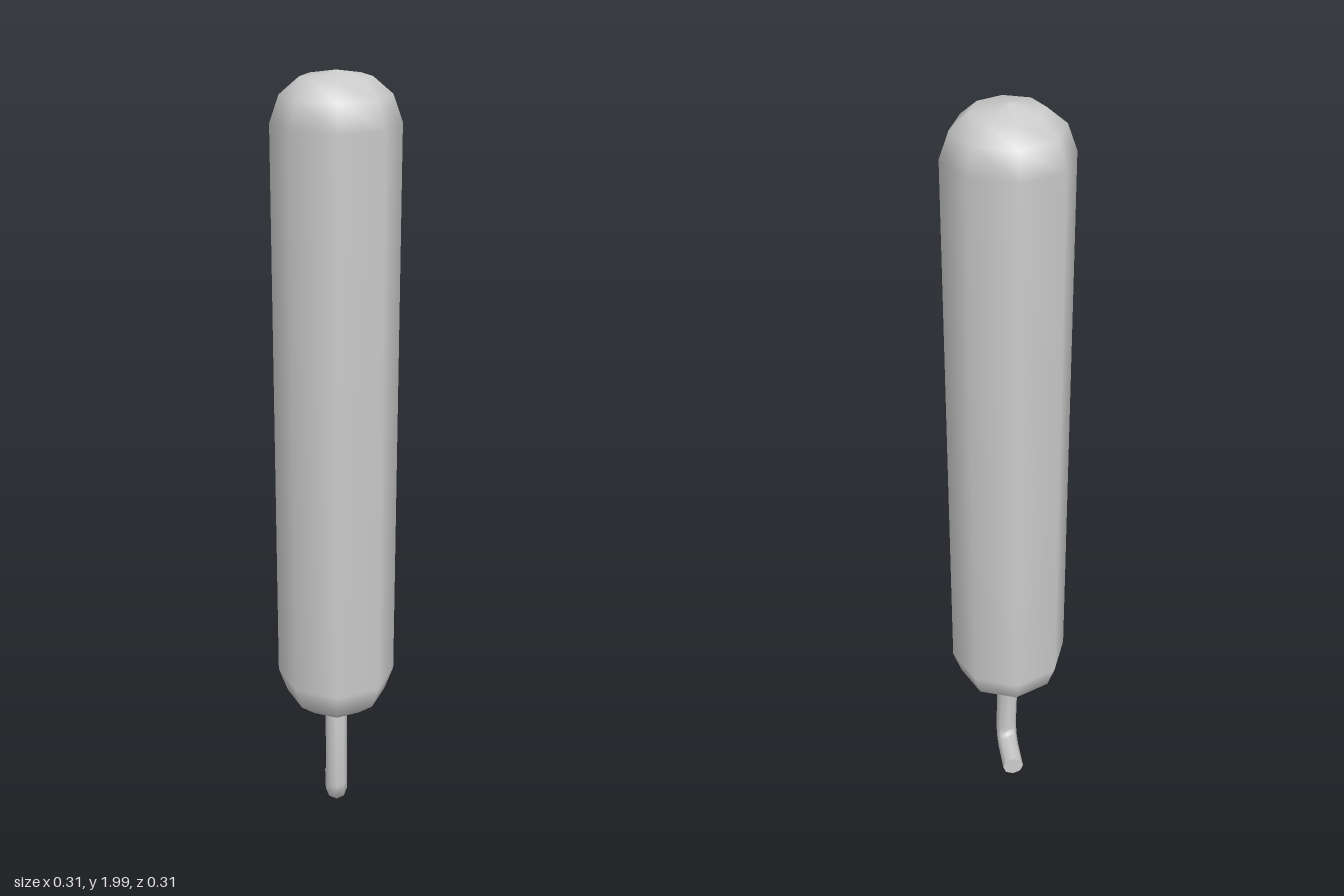
import * as THREE from 'three';

// Cylinder whose rings are moved onto a bent path; each ring is [y, z, tilt about x], top to bottom.
function bentRod(radius, rings, sides) {
  const n = rings.length - 1;
  const geo = new THREE.CylinderGeometry(radius, radius, n, sides, n);
  const pos = geo.attributes.position, nor = geo.attributes.normal;
  const v = new THREE.Vector3(), axis = new THREE.Vector3(1, 0, 0);
  for (let i = 0; i < pos.count; i++) {
    const [y, z, tilt] = rings[Math.round(n / 2 - pos.getY(i))];
    v.set(pos.getX(i), 0, pos.getZ(i)).applyAxisAngle(axis, tilt);
    pos.setXYZ(i, v.x, v.y + y, v.z + z);
    v.fromBufferAttribute(nor, i).applyAxisAngle(axis, tilt);
    nor.setXYZ(i, v.x, v.y, v.z);
  }
  return geo;
}

export function createModel() {
  const group = new THREE.Group();
  const material = new THREE.MeshStandardMaterial({ color: 0xcccccc });
  const add = (name, geometry) => {
    const mesh = new THREE.Mesh(geometry, material);
    mesh.name = name;
    group.add(mesh);
  };

  // Eight-sided roller with softly domed ends
  const profile = [
    [0, 0.305], [0.085, 0.316], [0.132, 0.355], [0.155, 0.42],
    [0.155, 1.88], [0.132, 1.945], [0.085, 1.985], [0, 2],
  ].map(([r, y]) => new THREE.Vector2(r, y));
  add('rollerBody', new THREE.LatheGeometry(profile, 8));

  // Thin handle leaning forward, then hooking to the back
  add('hookedHandle', bentRod(0.029, [
    [0.4, 0, -0.14],
    [0.085, 0.041, 0.05],
    [0.05, 0.03, 0.8],
    [0.035, 0, Math.PI / 2],
    [0.035, -0.085, Math.PI / 2],
  ], 8));

  return group;
}
